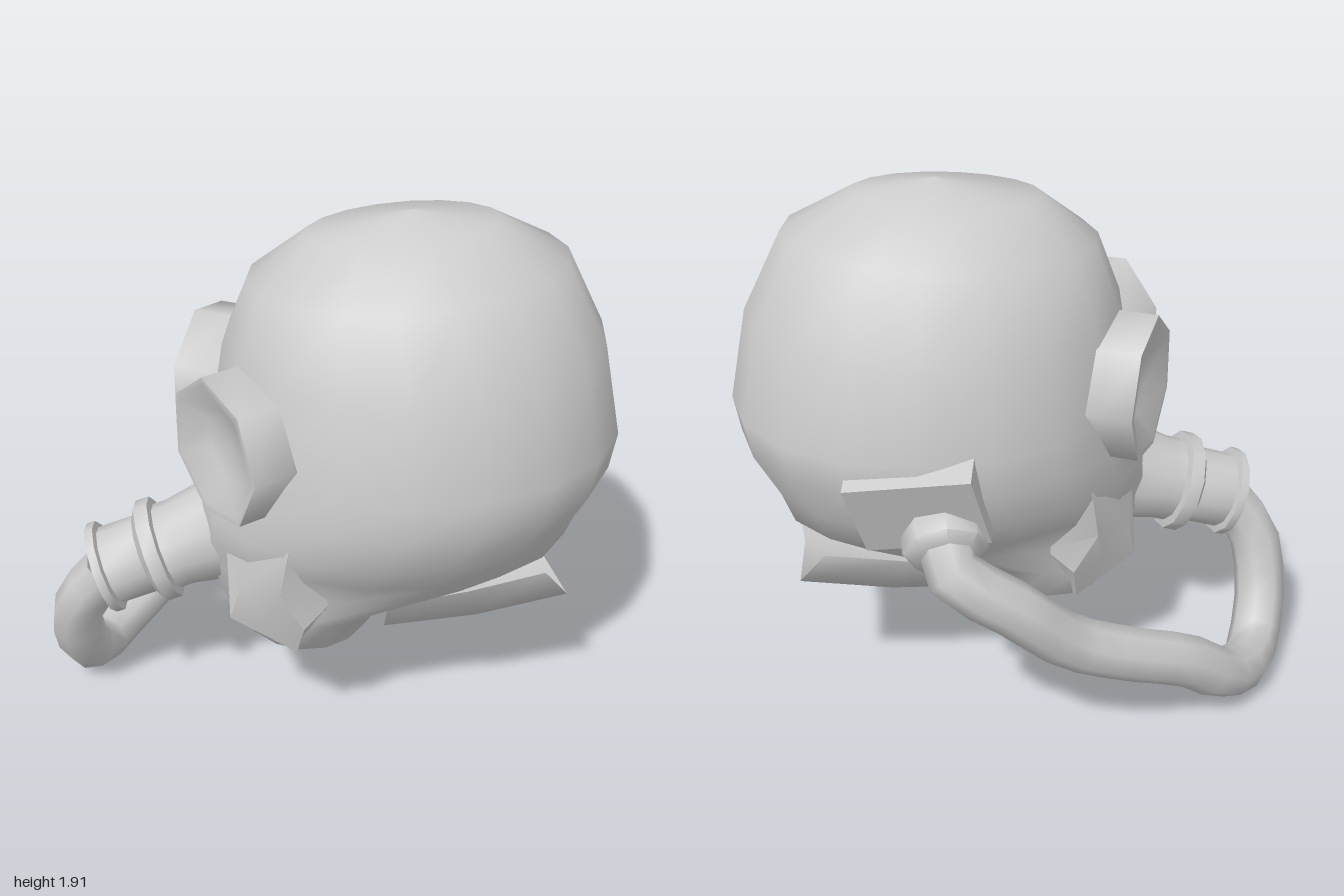
import * as THREE from 'three';
import { toCreasedNormals } from 'three/addons/utils/BufferGeometryUtils.js';

const MID = 0.09; // symmetry plane of the head
const material = new THREE.MeshStandardMaterial({ color: 0xcccccc, side: THREE.DoubleSide });
const V = (x, y, z) => new THREE.Vector3(x, y, z);

function addMesh(parent, name, geometry, crease) {
  const mesh = new THREE.Mesh(crease ? toCreasedNormals(geometry, crease) : geometry, material);
  mesh.name = name;
  parent.add(mesh);
  return mesh;
}

// Skin rows of points into one surface
function loft(rows, closed) {
  const n = rows[0].length, index = [];
  for (let i = 0; i < rows.length - 1; i++) {
    for (let j = 0; j < (closed ? n : n - 1); j++) {
      const a = i * n + j, b = i * n + (j + 1) % n;
      index.push(a, a + n, b, b, a + n, b + n);
    }
  }
  const g = new THREE.BufferGeometry().setFromPoints(rows.flat());
  g.setIndex(index);
  g.computeVertexNormals();
  return g;
}

// Lathe turned so that its axis points along dir
function turned(parent, name, profile, sides, pos, dir, crease) {
  const g = new THREE.LatheGeometry(profile.map(p => new THREE.Vector2(...p)), sides);
  const mesh = addMesh(parent, name, g, crease);
  mesh.position.copy(pos);
  mesh.quaternion.setFromUnitVectors(V(0, 1, 0), dir.clone().normalize());
  return mesh;
}

export function createModel() {
  const group = new THREE.Group();

  // Hood: tilted oval rings [front x, front y, back x, back y, half width]
  const rings = [
    [0.03, 0.35, 0.03, 0.35, 0],
    [-0.16, 0.37, 0.1, 0.34, 0.19],
    [-0.33, 0.46, 0.17, 0.46, 0.34],
    [-0.4, 0.6, 0.24, 0.55, 0.37],
    [-0.44, 0.72, 0.7, 0.66, 0.41],
    [-0.45, 0.82, 0.86, 0.75, 0.48],
    [-0.44, 0.92, 0.9, 0.88, 0.56],
    [-0.4, 1.04, 0.98, 1.04, 0.6],
    [-0.39, 1.17, 1.0, 1.17, 0.605],
    [-0.34, 1.48, 0.93, 1.49, 0.545],
    [-0.26, 1.69, 0.79, 1.76, 0.39],
    [-0.07, 1.84, 0.56, 1.88, 0.2],
    [0.28, 1.91, 0.28, 1.91, 0],
  ];
  const hood = rings.map(([x0, y0, x1, y1, hz]) => Array.from({ length: 18 }, (_, j) => {
    const t = j / 18 * Math.PI * 2, k = (1 + Math.cos(t)) / 2;
    return V(x0 + (x1 - x0) * k, y0 + (y1 - y0) * k, MID + hz * Math.sin(t));
  }));
  addMesh(group, 'hood', loft(hood, true));

  // Neck flap: a trough-shaped sheet under the back of the skull,
  // each row running from front to back
  const flapHalf = [
    [[0.18, 0.6, 0.31], [0.45, 0.66, 0.34], [0.73, 0.68, 0.29]],
    [[0.18, 0.46, 0.235], [0.5, 0.515, 0.28], [0.82, 0.57, 0.27]],
  ];
  const flapRow = (row, s) => row.map(([x, y, z]) => V(x, y, MID + s * z));
  addMesh(group, 'neckFlap', loft([
    ...flapHalf.map(row => flapRow(row, 1)),
    flapRow([[0.25, 0.42, 0], [0.52, 0.49, 0], [0.8, 0.56, 0]], 1),
    ...flapHalf.map(row => flapRow(row, -1)).reverse(),
  ], false));

  for (const s of [1, -1]) {
    const side = s > 0 ? 'front' : 'rear';

    // Eyepiece: seven-sided cup with a thin rim and a dished lens
    const eye = turned(group, side + 'Eyepiece', [
      [0.24, -0.24], [0.25, -0.12], [0.25, 0], [0.225, 0], [0.12, -0.055], [0, -0.07],
    ], 7, V(-0.395, 1.24, MID + s * 0.295), V(-0.88, 0, s * 0.47), 1);
    eye.rotateY(Math.atan2(0.88, -0.47 * s) + 0.2 * s); // one corner near the top

    // Cheek pad: five-cornered block flaring out of the jaw
    const base = [[-0.36, 0.82, 0.22], [-0.17, 0.94, 0.44], [-0.02, 0.69, 0.38], [-0.12, 0.46, 0.3], [-0.34, 0.58, 0.18]];
    const top = [[-0.33, 0.71, 0.32], [-0.2, 0.75, 0.42], [-0.12, 0.6, 0.41], [-0.14, 0.47, 0.36], [-0.36, 0.59, 0.3]];
    const tip = top.map(() => [-0.23, 0.62, 0.37]);
    addMesh(group, side + 'CheekPad',
      loft([base, top, tip].map(r => r.map(([x, y, z]) => V(x, y, MID + s * z))), true), 0.6);
  }

  // Muzzle and breathing port with two flanges, pointing forward and down
  turned(group, 'breathingPort', [
    [0.18, -0.22], [0.155, -0.08], [0.155, -0.03], [0.185, -0.025], [0.185, 0.025], [0.14, 0.05],
    [0.14, 0.18], [0.165, 0.185], [0.165, 0.215], [0.12, 0.22], [0, 0.22],
  ], 12, V(-0.59, 0.69, MID), V(-0.95, -0.31, 0), 0.7);

  // Socket plate and collar on the side of the hood
  const plate = addMesh(group, 'socketPlate', new THREE.BoxGeometry(0.42, 0.3, 0.14));
  plate.position.set(0.41, 1.01, -0.43);
  plate.rotation.set(-0.35, -0.22, -0.25);
  turned(group, 'hoseSocket', [
    [0.12, -0.1], [0.14, -0.03], [0.14, 0.02], [0.11, 0.05], [0, 0.05],
  ], 8, V(0.34, 0.88, -0.5), V(0, -0.46, -0.89), 0.9);

  // Hose from the socket, around the side, up to the breathing port
  const path = new THREE.CatmullRomCurve3([
    V(0.34, 0.9, -0.5), V(0.33, 0.83, -0.58), V(0.12, 0.67, -0.605), V(-0.06, 0.5, -0.57),
    V(-0.28, 0.39, -0.53), V(-0.5, 0.29, -0.47), V(-0.66, 0.16, -0.4), V(-0.79, 0.1, -0.27),
    V(-0.86, 0.11, -0.14), V(-0.905, 0.25, -0.03), V(-0.885, 0.46, 0.05), V(-0.77, 0.62, MID),
  ]);
  addMesh(group, 'hose', new THREE.TubeGeometry(path, 20, 0.094, 8, false));

  return group;
}
